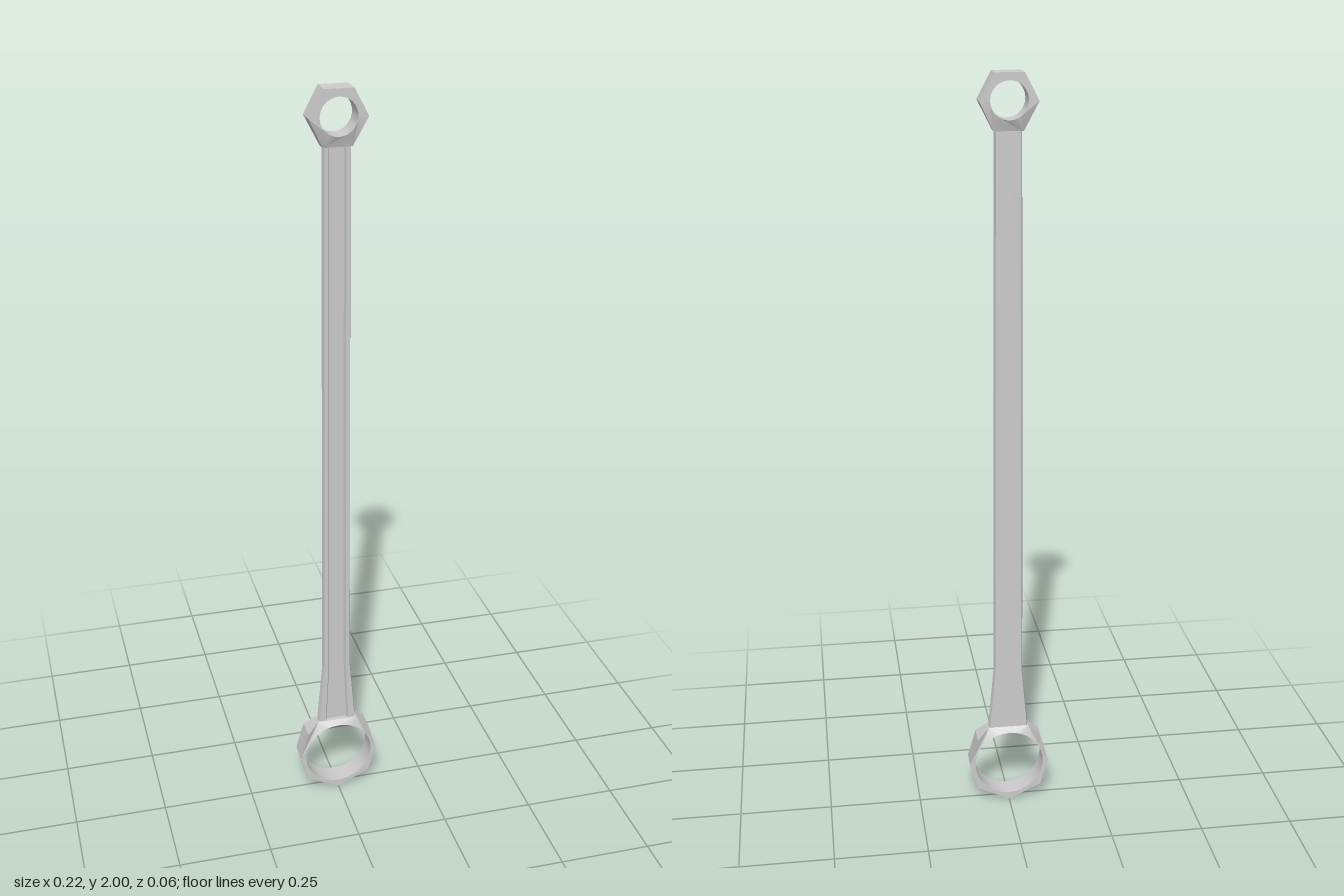
import * as THREE from 'three';
import { toCreasedNormals } from 'three/addons/utils/BufferGeometryUtils.js';

const HALF = 0.029; // half thickness of the end rings
const WEB = 0.013; // half thickness of the shaft

// Faceted ring with a round bore; corners at neckY are thinned down to the shaft
function ring(name, material, rightSide, centerY, bore, neckY) {
  const left = rightSide.filter(([x]) => x > 0).map(([x, y]) => [-x, y]).reverse();
  const shape = new THREE.Shape([...rightSide, ...left].map(([x, y]) => new THREE.Vector2(x, y)));
  const hole = new THREE.Path();
  hole.absarc(0, centerY, bore, 0, Math.PI * 2, true);
  shape.holes.push(hole);
  const geo = new THREE.ExtrudeGeometry(shape, { depth: HALF * 2, bevelEnabled: false, curveSegments: 16 });
  geo.translate(0, 0, -HALF);
  const p = geo.attributes.position;
  for (let i = 0; i < p.count; i++) {
    if (Math.abs(p.getY(i) - neckY) < 1e-4 && Math.abs(p.getX(i)) > 0.02) {
      p.setZ(i, Math.sign(p.getZ(i)) * (WEB + 0.003));
    }
  }
  const mesh = new THREE.Mesh(toCreasedNormals(geo, 0.35), material);
  mesh.name = name;
  return mesh;
}

// Shaft lofted through [y, half width, groove half width]
function shaftGeometry(stations) {
  const loops = stations.map(([y, w, g]) => {
    const half = [[g - 0.004, 0.004], [g, WEB], [w - 0.004, WEB], [w, 0], [w - 0.004, -WEB]];
    const mirrored = half.map(([x, z]) => [-x, z]).reverse();
    return [...half, ...mirrored].map(([x, z]) => [x, y, z]);
  });
  const pos = [];
  const n = loops[0].length;
  for (let s = 0; s < loops.length - 1; s++) {
    for (let i = 0; i < n; i++) {
      const j = (i + 1) % n;
      const a = loops[s][i], b = loops[s][j], c = loops[s + 1][j], d = loops[s + 1][i];
      pos.push(...a, ...c, ...b, ...a, ...d, ...c);
    }
  }
  const geo = new THREE.BufferGeometry();
  geo.setAttribute('position', new THREE.Float32BufferAttribute(pos, 3));
  geo.computeVertexNormals();
  return geo;
}

export function createModel() {
  const group = new THREE.Group();
  group.name = 'connectingRod';
  const metal = new THREE.MeshStandardMaterial({ color: 0xcccccc });
  const flatMetal = new THREE.MeshStandardMaterial({ color: 0xcccccc, flatShading: true, side: THREE.DoubleSide });

  // Large lower ring, right half listed from the bottom upwards
  group.add(ring('bigEndRing', metal,
    [[0, 0], [0.088, 0.042], [0.11, 0.117], [0.088, 0.195], [0.056, 0.224]], 0.117, 0.095, 0.224));

  // Small hexagonal upper ring
  group.add(ring('smallEndRing', metal,
    [[0.037, 1.86], [0.073, 1.932], [0.037, 2.0]], 1.934, 0.047, 1.86));

  // Shaft with ridged sides and a groove down the front
  const shaft = new THREE.Mesh(shaftGeometry([
    [0.217, 0.056, 0.033],
    [0.4, 0.04, 0.025],
    [1.4, 0.037, 0.023],
    [1.875, 0.035, 0.022],
  ]), flatMetal);
  shaft.name = 'shaft';
  group.add(shaft);
  return group;
}
